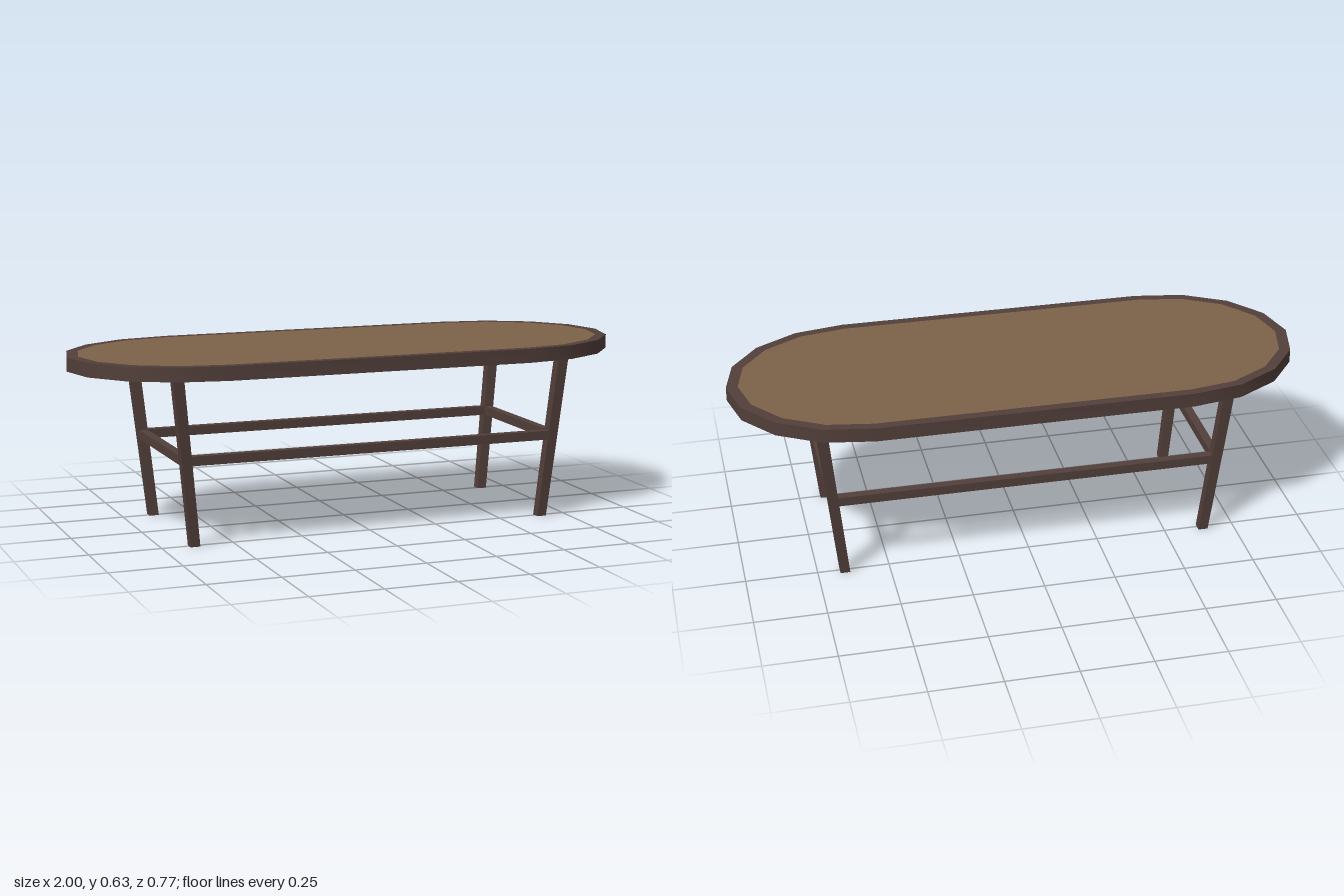
import * as THREE from 'three';
import { toCreasedNormals } from 'three/addons/utils/BufferGeometryUtils.js';

const frameMat = new THREE.MeshStandardMaterial({ color: 0x523f3a });
const panelMat = new THREE.MeshStandardMaterial({ color: 0x7d6349 });

// Oblong outline: straight long sides joined by faceted half-ellipse ends
function outline(insetX, insetZ) {
  const pts = [];
  for (const side of [1, -1]) {
    for (let i = 0; i <= 8; i++) {
      const a = -Math.PI / 2 + (i * Math.PI) / 8;
      pts.push(new THREE.Vector2(
        side * (0.545 + (0.455 - insetX) * Math.cos(a)),
        side * (0.385 - insetZ) * Math.sin(a)));
    }
  }
  return pts;
}

// Horizontal slab between two heights, with an optional opening
function slab(outer, inner, y0, y1) {
  const shape = new THREE.Shape(outer);
  if (inner) shape.holes.push(new THREE.Path(inner));
  const geo = new THREE.ExtrudeGeometry(shape, { depth: y1 - y0, bevelEnabled: false });
  geo.rotateX(-Math.PI / 2).translate(0, y0, 0);
  return toCreasedNormals(geo, 0.7);
}

// Splayed, slightly tapered square leg with level ends
function legGeometry(footX, sx, sz, height) {
  const geo = new THREE.BoxGeometry(1, height, 1).translate(0, height / 2, 0);
  const p = geo.attributes.position;
  for (let i = 0; i < p.count; i++) {
    const t = p.getY(i) / height;
    const w = 0.034 + 0.004 * t;
    p.setX(i, p.getX(i) * w + footX + sx * 0.062 * t);
    p.setZ(i, p.getZ(i) * w + sz * (0.254 + 0.031 * t));
  }
  geo.computeVertexNormals();
  return geo;
}

export function createModel() {
  const table = new THREE.Group();
  table.name = 'table';
  const add = (name, geo, mat = frameMat) => {
    const mesh = new THREE.Mesh(geo, mat);
    mesh.name = name;
    table.add(mesh);
  };

  // Top: thin skirt hanging below a flush border and panel
  const skirtInner = outline(0.003, 0.003);
  const panelEdge = outline(0.04, 0.033);
  add('skirt', slab(outline(0, 0), skirtInner, 0.577, 0.626));
  add('border', slab(skirtInner, panelEdge, 0.6, 0.626));
  add('topPanel', slab(panelEdge, null, 0.6, 0.626), panelMat);

  // Legs and the stretchers joining them; the frame sits slightly toward +x
  const frameX = 0.009;
  for (const s of [1, -1]) {
    const end = s > 0 ? 'left' : 'right';
    const face = s > 0 ? 'front' : 'back';
    const footX = frameX + s * 0.647;
    add(end + 'FrontLeg', legGeometry(footX, s, 1, 0.6));
    add(end + 'BackLeg', legGeometry(footX, s, -1, 0.6));
    add(face + 'Stretcher',
      new THREE.BoxGeometry(1.34, 0.032, 0.03).translate(frameX, 0.296, s * 0.269));
    add(end + 'Stretcher',
      new THREE.BoxGeometry(0.03, 0.032, 0.52).translate(frameX + s * 0.678, 0.296, 0));
  }
  return table;
}
